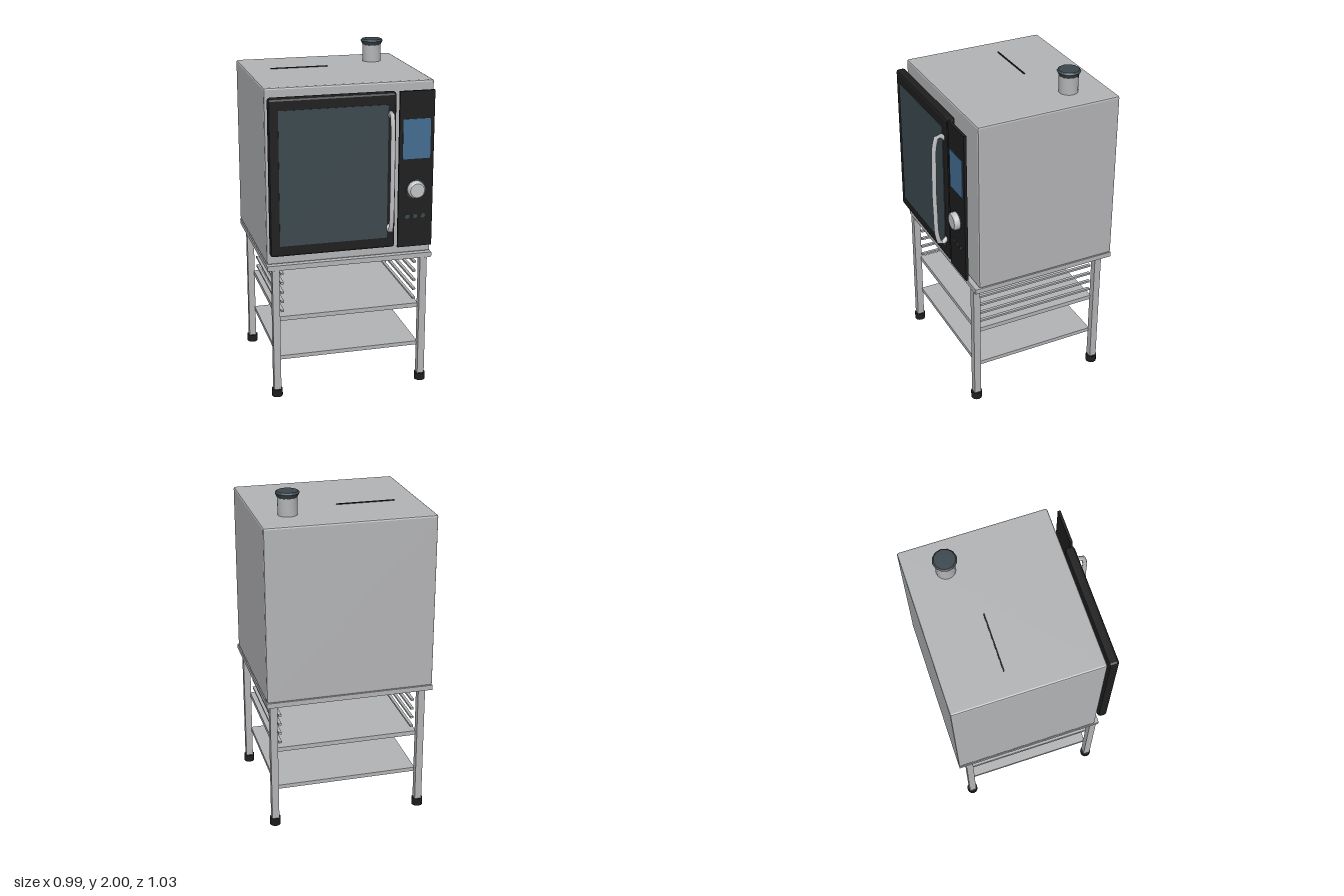
import * as THREE from 'three';
import { toCreasedNormals } from 'three/addons/utils/BufferGeometryUtils.js';
import { RoundedBoxGeometry } from 'three/addons/geometries/RoundedBoxGeometry.js';

const mat = (name, color) => {
  const m = new THREE.MeshStandardMaterial({ color });
  m.name = name;
  return m;
};

export function createModel() {
  const model = new THREE.Group();
  model.name = 'ovenOnStand';
  const steel = mat('brushed steel', 0xb3b4b6);
  const polished = mat('polished steel', 0xc2c3c5);
  const black = mat('black enamel', 0x1e1e1f);
  const glass = mat('dark glass', 0x3b484e);
  const blue = mat('screen blue', 0x446d92);

  const add = (name, geometry, material, parent = model) => {
    const mesh = new THREE.Mesh(geometry, material);
    mesh.name = name;
    parent.add(mesh);
    return mesh;
  };
  // Box given by its limits on each axis, optionally with chamfered edges
  const box = (name, [x0, x1], [y0, y1], [z0, z1], material, chamfer = 0, parent = model) => {
    const size = [x1 - x0, y1 - y0, z1 - z0];
    const g = chamfer ? new RoundedBoxGeometry(...size, 1, chamfer) : new THREE.BoxGeometry(...size);
    if (chamfer) g.computeVertexNormals();
    g.translate((x0 + x1) / 2, (y0 + y1) / 2, (z0 + z1) / 2);
    return add(name, g, material, parent);
  };
  // Turned part from [radius, height] points
  const turned = (name, points, sides, material, parent = model) => add(name,
    toCreasedNormals(new THREE.LatheGeometry(points.map(p => new THREE.Vector2(...p)), sides), 0.6),
    material, parent);

  // Oven cabinet with a vent slot and chimney on the roof
  box('cabinet', [-0.493, 0.493], [0.83, 1.863], [-0.515, 0.355], steel, 0.011);
  box('roofSlot', [-0.345, 0], [1.86, 1.868], [-0.177, -0.169], black);
  const chimney = new THREE.Group();
  chimney.name = 'chimney';
  chimney.position.set(0.309, 0, -0.289);
  model.add(chimney);
  turned('chimneyPipe', [[0.056, 1.855], [0.056, 1.965]], 16, steel, chimney);
  turned('chimneyCap', [[0, 1.96], [0.055, 1.96], [0.069, 1.988], [0.06, 1.998], [0, 2]], 12, glass, chimney);

  // Door with its window
  box('door', [-0.483, 0.25], [0.9, 1.818], [0.375, 0.431], black, 0.015);
  box('doorWindow', [-0.43, 0.2], [0.965, 1.75], [0.429, 0.434], glass);

  // Bowed door handle, mirrored about its middle height
  const half = [[0.425, 0.325], [0.465, 0.353], [0.488, 0.29], [0.494, 0.15]];
  const bow = [
    ...half.map(([z, y]) => new THREE.Vector3(0.21, 1.36 + y, z)),
    new THREE.Vector3(0.21, 1.36, 0.497),
    ...half.slice().reverse().map(([z, y]) => new THREE.Vector3(0.21, 1.36 - y, z)),
  ];
  add('doorHandle', new THREE.TubeGeometry(new THREE.CatmullRomCurve3(bow), 24, 0.014, 8), polished);

  // Control panel with screen, dial and buttons
  box('controlPanel', [0.268, 0.474], [0.897, 1.82], [0.414, 0.43], black);
  box('screen', [0.289, 0.452], [1.427, 1.66], [0.428, 0.434], blue);
  const dial = new THREE.Group();
  dial.name = 'dial';
  dial.position.set(0.37, 1.245, 0.43);
  dial.rotation.x = Math.PI / 2;
  model.add(dial);
  turned('dialRing', [[0, 0], [0.058, 0], [0.058, 0.004], [0, 0.004]], 24, glass, dial);
  turned('dialKnob', [[0.052, 0.004], [0.052, 0.024], [0.049, 0.032], [0.042, 0.037], [0, 0.037]], 20, polished, dial);
  for (const x of [0.322, 0.369, 0.416]) {
    const g = new THREE.CylinderGeometry(0.014, 0.014, 0.006, 12).rotateX(Math.PI / 2);
    add('button', g, glass).position.set(x, 1.083, 0.431);
  }

  // Stand: top slab, shelves, legs with feet, and tray rails
  const stand = new THREE.Group();
  stand.name = 'stand';
  model.add(stand);
  box('standTop', [-0.495, 0.495], [0.8, 0.83], [-0.515, 0.38], steel, 0, stand);
  for (const [y0, y1] of [[0.47, 0.497], [0.222, 0.246]])
    box('shelf', [-0.43, 0.43], [y0, y1], [-0.43, 0.345], steel, 0, stand);
  for (const side of [-1, 1]) {
    const x = side * 0.446;
    for (const z of [0.36, -0.446]) {
      box('leg', [x - 0.021, x + 0.021], [0.03, 0.8], [z - 0.021, z + 0.021], steel, 0, stand);
      turned('foot', [[0, 0], [0.033, 0], [0.033, 0.046], [0, 0.046]], 12, black, stand)
        .position.set(x, 0, z);
    }
    for (let i = 0; i < 5; i++) {
      const y = 0.763 - i * 0.058;
      box('trayRail', [side * 0.403 - 0.009, side * 0.403 + 0.009], [y - 0.006, y + 0.006],
        [-0.43, 0.345], steel, 0, stand);
    }
  }
  return model;
}
